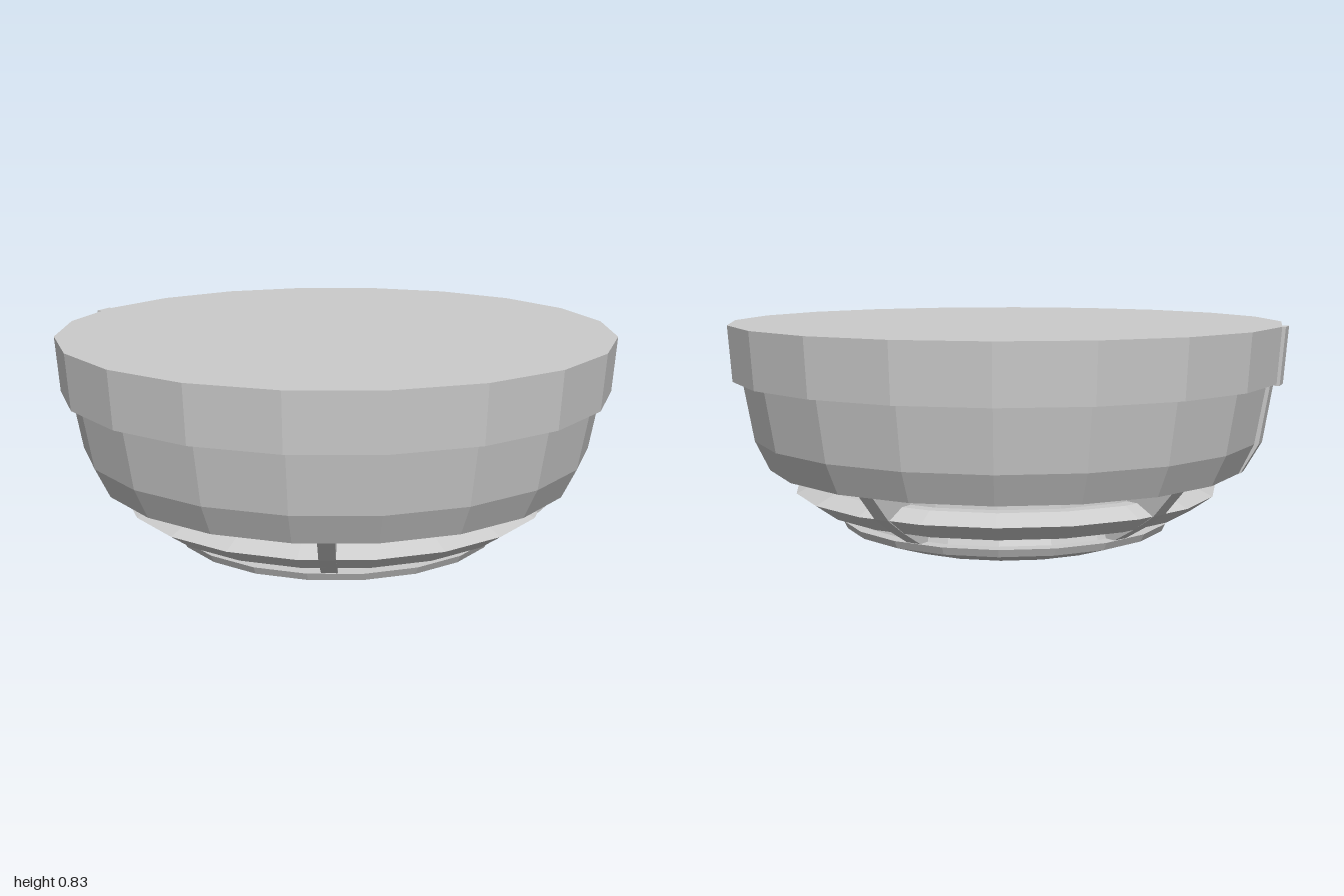
import * as THREE from 'three';

const SIDES = 20;

export function createModel() {
  const model = new THREE.Group();
  const material = new THREE.MeshStandardMaterial({ color: 0xcccccc, flatShading: true });

  const add = (name, geometry) => {
    const mesh = new THREE.Mesh(geometry, material);
    mesh.name = name;
    model.add(mesh);
    return mesh;
  };

  // Faceted solid of revolution; profile [radius, y] runs from bottom to top
  const turned = (name, profile) =>
    add(name, new THREE.LatheGeometry(profile.map(([r, y]) => new THREE.Vector2(r, y)), SIDES));

  // Upright plate with outline [radius, y], pointing at angle (degrees from +z towards +x)
  const plate = (name, outline, width, angle) => {
    const shape = new THREE.Shape(outline.map(([r, y]) => new THREE.Vector2(r, y)));
    const geometry = new THREE.ExtrudeGeometry(shape, { depth: width, bevelEnabled: false });
    geometry.translate(0, 0, -width / 2);
    geometry.rotateY(THREE.MathUtils.degToRad(angle - 90));
    return add(name, geometry);
  };

  // Mounting base
  turned('mountingBase', [[0, 0.64], [0.98, 0.64], [0.993, 0.835], [0, 0.835]]);

  // Housing with a sloping underside
  turned('housing', [[0, 0.295], [0.65, 0.295], [0.70, 0.325], [0.86, 0.325],
    [0.91, 0.43], [0.947, 0.645], [0, 0.645]]);

  // Recessed cores behind the two vents
  turned('upperCore', [[0, 0.21], [0.66, 0.21], [0.65, 0.30], [0, 0.30]]);
  turned('lowerCore', [[0, 0.115], [0.56, 0.115], [0.53, 0.2], [0, 0.2]]);

  // Ring between the vents
  turned('ventRing', [[0, 0.18], [0.69, 0.18], [0.77, 0.237], [0.70, 0.27], [0.64, 0.27], [0, 0.27]]);

  // Shallow domed cap
  turned('domeCap', [[0, 0], [0.15, 0.006], [0.3, 0.022], [0.45, 0.053],
    [0.59, 0.1], [0.603, 0.127], [0, 0.127]]);

  // Five struts bridging both vents
  for (let i = 0; i < 5; i++) {
    plate('strut', [[0.5, 0.115], [0.57, 0.115], [0.69, 0.185], [0.765, 0.237],
      [0.85, 0.33], [0.6, 0.33]], 0.055, 25 + i * 72);
  }

  // Alignment rib on the right side, following the housing outline
  const rib = plate('alignmentRib', [[0.78, 0.325], [0.865, 0.325], [0.925, 0.43], [0.958, 0.635],
    [0.99, 0.635], [1.005, 0.835], [0.78, 0.835]], 0.075, -90);
  rib.position.z = 0.035;

  model.position.set(0.005, 0, -0.003);
  const root = new THREE.Group();
  root.name = 'smokeDetector';
  root.add(model);
  return root;
}
